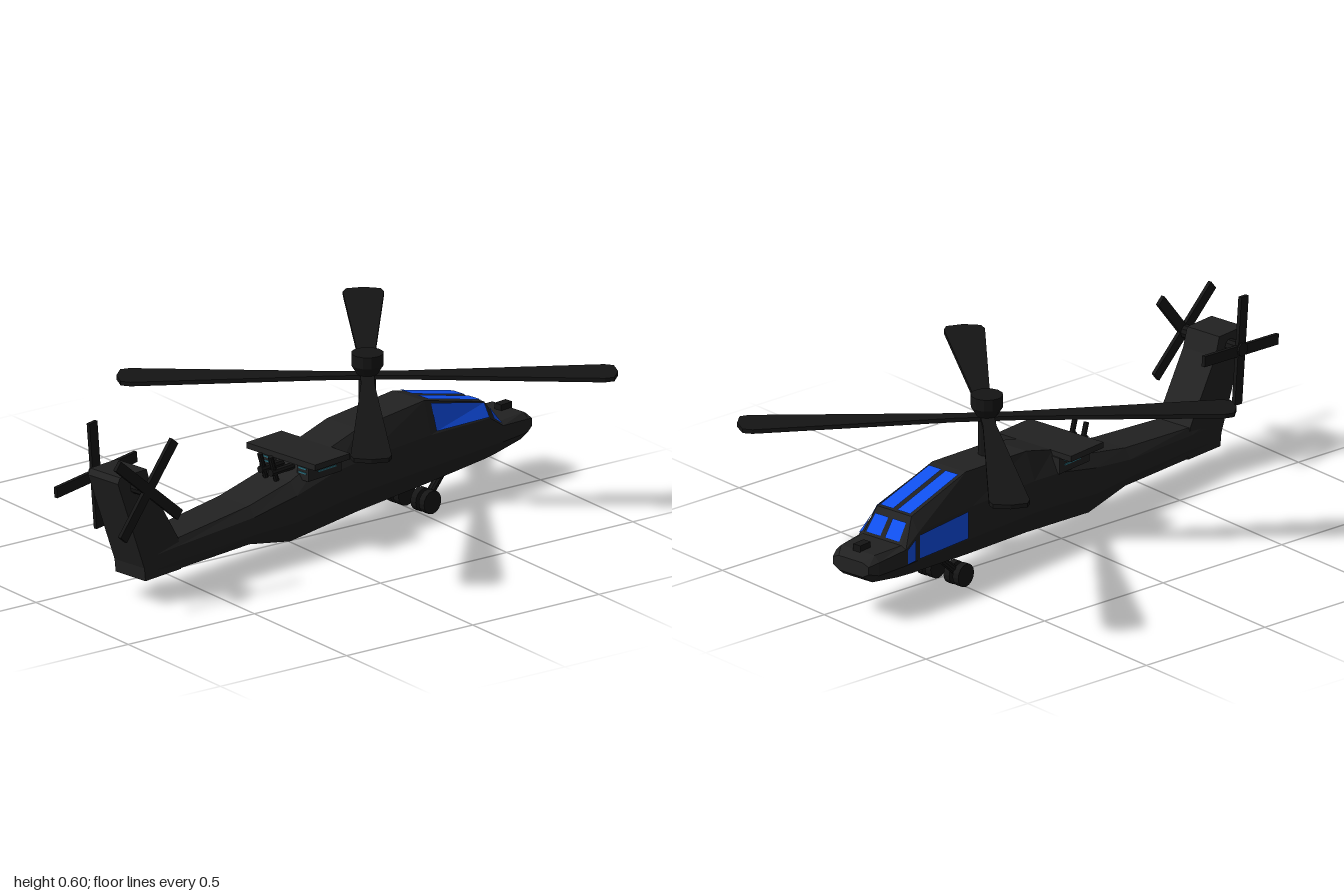
import * as THREE from 'three';

const mat = (color, extra = {}) => new THREE.MeshStandardMaterial({ color, flatShading: true, ...extra });
const BODY = mat(0x222222);
const BLADE = mat(0x151515);
const GLASS = mat(0x1050ee, { side: THREE.DoubleSide });
const TEAL = mat(0x2a7080);

// Fuselage stations: z, then heights (bottom, low side, high side, top), then half widths (bottom, side, top)
const STATIONS = [
  [-0.985, 0.165, 0.18, 0.205, 0.215, 0.05, 0.075, 0.05],
  [-0.95, 0.14, 0.17, 0.215, 0.235, 0.06, 0.09, 0.07],
  [-0.83, 0.122, 0.17, 0.225, 0.235, 0.065, 0.1, 0.08],
  [-0.77, 0.118, 0.17, 0.265, 0.315, 0.07, 0.1, 0.072],
  [-0.5, 0.1, 0.165, 0.275, 0.385, 0.07, 0.1, 0.07],
  [-0.2, 0.085, 0.16, 0.27, 0.365, 0.07, 0.104, 0.07],
  [-0.07, 0.074, 0.15, 0.26, 0.33, 0.07, 0.104, 0.07],
  [0.107, 0.059, 0.13, 0.22, 0.262, 0.07, 0.1, 0.07],
  [0.29, 0.094, 0.13, 0.19, 0.225, 0.068, 0.09, 0.068],
  [0.62, 0.088, 0.12, 0.17, 0.193, 0.062, 0.072, 0.062],
  [0.74, 0.087, 0.11, 0.16, 0.185, 0.06, 0.066, 0.06],
];

function ring([z, yB, yL, yU, yT, wB, wM, wT]) {
  const half = [[wB, yB], [wM, yL], [wM, yU], [wT, yT]];
  return [...half, ...half.map(([x, y]) => [-x, y]).reverse()].map(([x, y]) => new THREE.Vector3(x, y, z));
}

function geometryOf(points, index) {
  const g = new THREE.BufferGeometry().setFromPoints(points);
  g.setIndex(index);
  const flat = g.toNonIndexed();
  flat.computeVertexNormals();
  return flat;
}

function loft(stations) {
  const n = 8, last = (stations.length - 1) * n, index = [];
  for (let i = 0; i < stations.length - 1; i++) {
    for (let j = 0; j < n; j++) {
      const a = i * n + j, b = i * n + (j + 1) % n;
      index.push(a, b, a + n, b, b + n, a + n);
    }
  }
  for (let j = 1; j < n - 1; j++) index.push(0, j + 1, j, last, last + j, last + j + 1);
  return geometryOf(stations.flatMap(ring), index);
}

// Point on the fuselage skin at length z and position u around the section
function skin(z, u) {
  let i = 0;
  while (i < STATIONS.length - 2 && STATIONS[i + 1][0] < z) i++;
  const A = STATIONS[i], B = STATIONS[i + 1], t = (z - A[0]) / (B[0] - A[0]);
  const r = ring(A.map((v, k) => v + (B[k] - v) * t)), j = Math.floor(u);
  return r[j].clone().lerp(r[(j + 1) % 8], u - j);
}

// Glass pane laid just above the skin
function pane(z0, z1, u0, u1) {
  const p = [skin(z0, u0), skin(z0, u1), skin(z1, u1), skin(z1, u0)];
  const normal = p[1].clone().sub(p[0]).cross(p[3].clone().sub(p[0])).normalize().multiplyScalar(0.004);
  p.forEach(v => v.add(normal));
  return geometryOf(p, [0, 1, 3, 1, 2, 3]);
}

function add(parent, name, geometry, material, x = 0, y = 0, z = 0) {
  const mesh = new THREE.Mesh(geometry, material);
  mesh.name = name;
  mesh.position.set(x, y, z);
  parent.add(mesh);
  return mesh;
}

function rod(parent, name, from, to, radius, material, sides = 10) {
  const a = new THREE.Vector3(...from), b = new THREE.Vector3(...to), d = b.clone().sub(a);
  const mesh = add(parent, name, new THREE.CylinderGeometry(radius, radius, d.length(), sides), material);
  mesh.position.copy(a).add(b).multiplyScalar(0.5);
  mesh.quaternion.setFromUnitVectors(new THREE.Vector3(0, 1, 0), d.normalize());
  return mesh;
}

function extrude(points, depth) {
  const shape = new THREE.Shape(points.map(([x, y]) => new THREE.Vector2(x, y)));
  return new THREE.ExtrudeGeometry(shape, { depth, bevelEnabled: false }).translate(0, 0, -depth / 2);
}

export function createModel() {
  const model = new THREE.Group();
  model.name = 'helicopter';
  const craft = new THREE.Group();
  craft.name = 'airframe';
  craft.position.x = 0.054;
  craft.rotation.y = 0.156;
  model.add(craft);

  add(craft, 'fuselage', loft(STATIONS), BODY);

  // Canopy: short front panes and long rear panes, on the sides and the roof
  for (const [z0, z1] of [[-0.825, -0.785], [-0.765, -0.525]]) {
    for (const [u0, u1] of [[2.06, 2.92], [3.06, 3.44], [3.56, 3.94], [5.08, 5.94]]) {
      add(craft, 'canopyPane', pane(z0, z1, u0, u1), GLASS);
    }
  }

  // Nose sensor
  add(craft, 'noseSensor', new THREE.BoxGeometry(0.03, 0.03, 0.05), BLADE, 0, 0.24, -0.93);

  // Swept tail fin
  const fin = [[0.6, 0.088], [0.76, 0.086], [0.765, 0.13], [0.885, 0.445], [0.875, 0.465], [0.755, 0.465], [0.735, 0.4], [0.61, 0.193]];
  add(craft, 'tailFin', extrude(fin, 0.135).rotateY(-Math.PI / 2), BODY);

  // Stub wing with grilled pods beneath
  add(craft, 'stubWing', new THREE.BoxGeometry(0.31, 0.02, 0.16), BODY, 0, 0.322, 0);
  for (const side of [-1, 1]) {
    add(craft, 'wingPod', new THREE.BoxGeometry(0.05, 0.055, 0.15), BODY, side * 0.085, 0.287, -0.01);
    for (const y of [0.285, 0.3]) {
      add(craft, 'podGrille', new THREE.BoxGeometry(0.003, 0.005, 0.08), TEAL, side * 0.111, y, -0.02);
      add(craft, 'podGrilleRear', new THREE.BoxGeometry(0.035, 0.005, 0.003), TEAL, side * 0.085, y, 0.066);
    }
    // Rear exhaust pipes
    rod(craft, 'exhaustPipe', [side * 0.024, 0.29, 0.05], [side * 0.024, 0.29, 0.15], 0.012, BLADE, 8);
    rod(craft, 'exhaustStack', [side * 0.024, 0.25, 0.12], [side * 0.024, 0.345, 0.15], 0.009, BLADE, 8);
  }

  // Landing gear: twin wheels on a raked strut each side
  for (const side of [-1, 1]) {
    const gear = new THREE.Group();
    gear.name = 'landingGear';
    gear.position.set(side * 0.058, 0.039, -0.52);
    craft.add(gear);
    rod(gear, 'strut', [0, 0, 0], [-side * 0.012, 0.1, -0.11], 0.014, BLADE);
    rod(gear, 'axle', [-0.03, 0, 0], [0.03, 0, 0], 0.01, BLADE);
    for (const x of [-0.019, 0.019]) {
      rod(gear, 'wheel', [x - 0.012, 0, 0], [x + 0.012, 0, 0], 0.039, BLADE, 16);
    }
  }

  // Main rotor mast and hub
  const hub = [[0, 0.33], [0.029, 0.33], [0.029, 0.5], [0.053, 0.538], [0.053, 0.577], [0, 0.577]];
  add(craft, 'rotorMast', new THREE.LatheGeometry(hub.map(([x, y]) => new THREE.Vector2(x, y)), 12), BLADE, 0, 0, -0.313);

  // Main rotor blades, widening to the tip
  const rotor = new THREE.Group();
  rotor.name = 'mainRotor';
  rotor.position.set(0, 0.5, -0.313);
  rotor.rotation.set(0.011, 0, -0.007);
  craft.add(rotor);
  const bladeShape = [[0, -0.022], [0.1, -0.022], [0.76, -0.066], [0.79, -0.056], [0.803, 0], [0.79, 0.056], [0.76, 0.066], [0.1, 0.022], [0, 0.022]];
  const bladeGeometry = extrude(bladeShape, 0.014).rotateX(-Math.PI / 2);
  for (let i = 0; i < 4; i++) {
    add(rotor, 'mainBlade', bladeGeometry, BLADE).rotation.y = 0.8 + i * Math.PI / 2;
  }

  // Tail rotors, one each side of the fin on a shared axle
  rod(craft, 'tailAxle', [-0.125, 0.42, 0.806], [0.13, 0.42, 0.806], 0.023, BLADE, 10);
  for (const [x, y, turn] of [[-0.112, 0.415, 0.09], [0.125, 0.42, 0.09 + Math.PI / 4]]) {
    const tail = new THREE.Group();
    tail.name = 'tailRotor';
    tail.position.set(x, y, 0.806);
    tail.rotation.x = turn;
    craft.add(tail);
    for (let i = 0; i < 2; i++) {
      add(tail, 'tailBlades', new THREE.BoxGeometry(0.013, 0.365, 0.036), BLADE).rotation.x = i * Math.PI / 2;
    }
  }
  return model;
}
